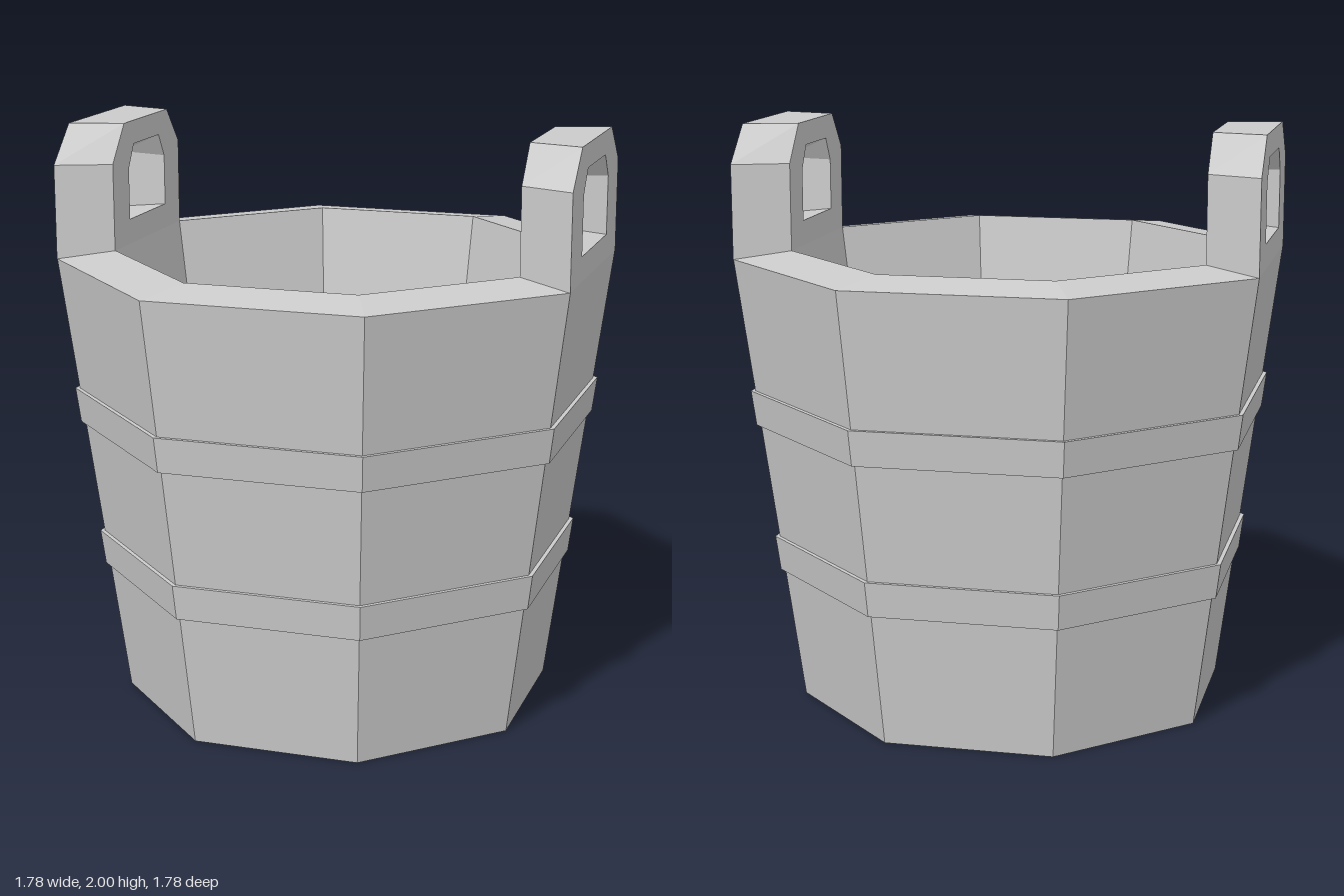
import * as THREE from 'three';

const material = new THREE.MeshStandardMaterial({ color: 0xcccccc, flatShading: true });
const CORNER = 1 / Math.cos(Math.PI / 8); // flat-to-centre distance -> corner radius
const RIM_IN = 0.705, RIM_OUT = 0.887, RIM_LIFT = 0.025;
const wallAt = (y) => 0.69 + (RIM_OUT - 0.69) * y / 1.555;

function addMesh(parent, name, geometry) {
  const mesh = new THREE.Mesh(geometry, material);
  mesh.name = name;
  parent.add(mesh);
  return mesh;
}

// Eight-sided ring from a profile of [flat distance, height]
function octagon(profile) {
  const points = profile.map(([r, y]) => new THREE.Vector2(r * CORNER, y));
  return new THREE.LatheGeometry(points, 8, Math.PI / 8);
}

// Upright grip with a chamfered top and hole, narrowing towards the bucket axis
function handleGeometry() {
  const outline = [[-0.37, 1.555], [0.37, 1.555], [0.37, 1.875], [0.24, 2], [-0.24, 2], [-0.37, 1.875]];
  const opening = [[-0.2, 1.64], [-0.2, 1.84], [-0.14, 1.92], [0.14, 1.92], [0.2, 1.84], [0.2, 1.64]];
  const toPoints = (list) => list.map(([x, y]) => new THREE.Vector2(x, y));
  const shape = new THREE.Shape(toPoints(outline));
  shape.holes.push(new THREE.Path(toPoints(opening)));

  const geometry = new THREE.ExtrudeGeometry(shape, { depth: RIM_OUT - RIM_IN, bevelEnabled: false });
  geometry.translate(0, 0, RIM_IN);
  const p = geometry.attributes.position;
  for (let i = 0; i < p.count; i++) {
    const z = p.getZ(i);
    p.setX(i, p.getX(i) * z / RIM_OUT);
    // lower edges follow the sloping rim
    if (p.getY(i) < 1.7) p.setY(i, p.getY(i) + RIM_LIFT * (RIM_OUT - z) / (RIM_OUT - RIM_IN));
  }
  geometry.computeVertexNormals();
  return geometry;
}

export function createModel() {
  const bucket = new THREE.Group();
  bucket.name = 'bucket';
  const body = new THREE.Group();
  body.name = 'body';
  body.rotation.y = -0.009;
  bucket.add(body);

  // Tapered wall with closed underside
  const floorY = 0.456;
  addMesh(body, 'wall', octagon([
    [0, 0], [wallAt(0), 0], [RIM_OUT, 1.555], [RIM_IN, 1.555 + RIM_LIFT], [0.56, floorY],
  ]));

  // Inside floor
  const floor = new THREE.CircleGeometry(0.56 * CORNER, 8, Math.PI / 8);
  floor.rotateX(-Math.PI / 2);
  addMesh(body, 'floor', floor).position.y = floorY;

  // Two hoops
  for (const [name, y0, y1] of [['lowerHoop', 0.46, 0.58], ['upperHoop', 0.98, 1.1]]) {
    const a = wallAt(y0), b = wallAt(y1), t = 0.014;
    addMesh(body, name, octagon([[a - 0.01, y0], [a + t, y0], [b + t, y1], [b - 0.01, y1]]));
  }

  // Pair of handles
  const handle = handleGeometry();
  for (const [name, side] of [['leftHandle', 1], ['rightHandle', -1]]) {
    addMesh(body, name, handle).rotation.y = side * Math.PI / 2;
  }
  return bucket;
}
